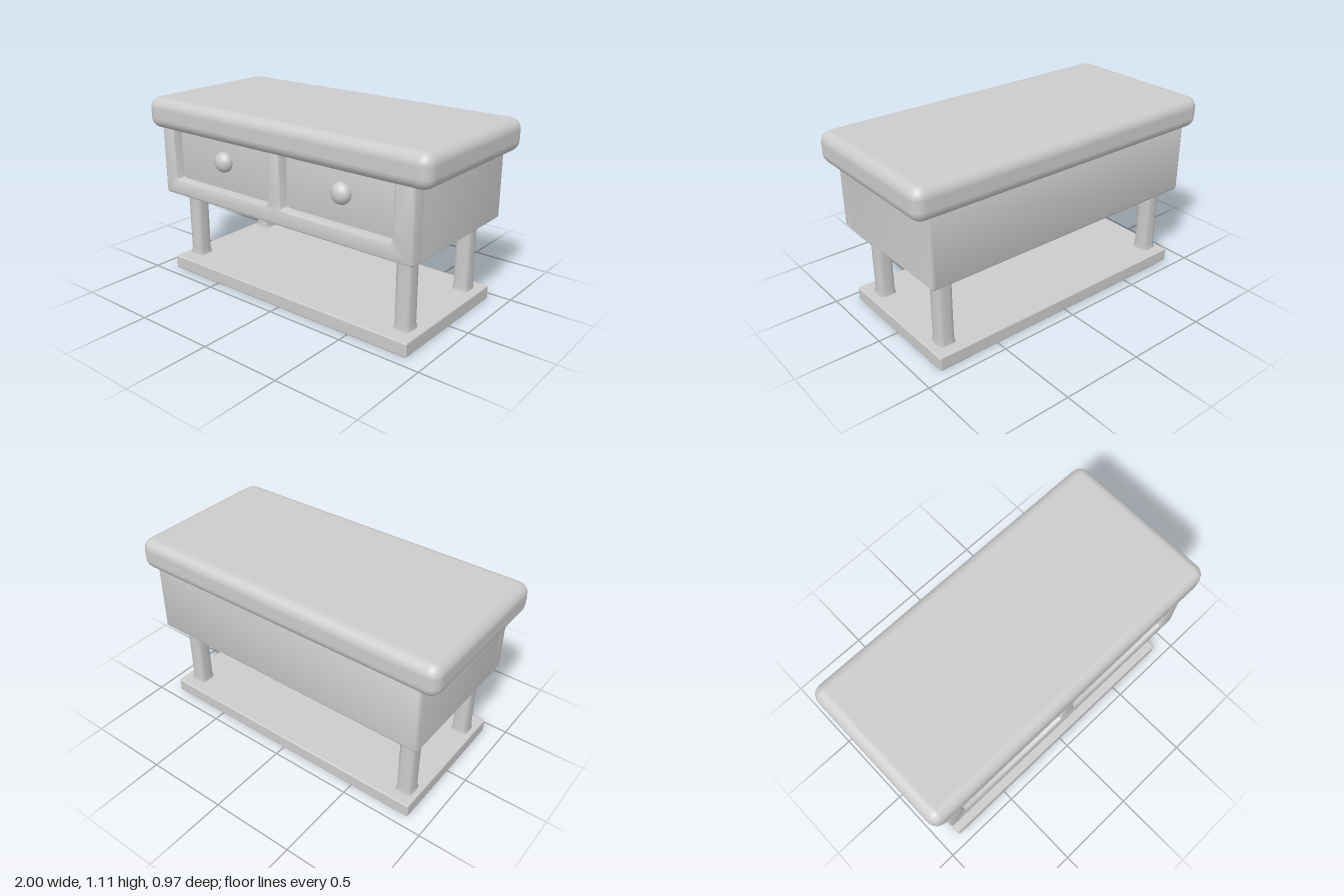
import * as THREE from 'three';
import { toCreasedNormals } from 'three/addons/utils/BufferGeometryUtils.js';
import { RoundedBoxGeometry } from 'three/addons/geometries/RoundedBoxGeometry.js';

const material = new THREE.MeshStandardMaterial({ color: 0xcccccc });

function add(parent, name, geometry, x = 0, y = 0, z = 0) {
  const mesh = new THREE.Mesh(geometry, material);
  mesh.name = name;
  mesh.position.set(x, y, z);
  parent.add(mesh);
  return mesh;
}

// Extrude an outline between two z planes, with softened edges
function slab(points, z0, z1) {
  const shape = new THREE.Shape(points.map(([x, y]) => new THREE.Vector2(x, y)));
  const t = 0.02;
  const geometry = new THREE.ExtrudeGeometry(shape, {
    depth: z1 - z0 - 2 * t, bevelThickness: t, bevelSize: 0.015, bevelOffset: -0.015, bevelSegments: 2,
  });
  geometry.translate(0, 0, z0 + t);
  return toCreasedNormals(geometry, 0.6);
}

// Rounded square post that flares towards both ends
function legGeometry(y0, y1) {
  const rows = [[0, 0.053], [0.035, 0.046], [0.36, 0.046], [y1 - y0, 0.053]];
  const geometry = new THREE.CylinderGeometry(1, 1, 3, 16, 3, true);
  const p = geometry.attributes.position;
  for (let i = 0; i < p.count; i++) {
    const [y, half] = rows[Math.round(p.getY(i) + 1.5)];
    const square = (v) => THREE.MathUtils.clamp(v * 1.25, -1, 1) * half;
    p.setXYZ(i, square(p.getX(i)), y0 + y, square(p.getZ(i)));
  }
  geometry.computeVertexNormals();
  return geometry;
}

export function createModel() {
  const model = new THREE.Group();
  model.name = 'sideTable';

  add(model, 'tableTop', new RoundedBoxGeometry(2, 0.19, 0.97, 3, 0.065), 0, 1.015, 0);
  add(model, 'lowerShelf', new RoundedBoxGeometry(1.765, 0.085, 0.87, 2, 0.01), 0, 0.0425, 0);

  // Cabinet: solid block behind a front frame with two drawer openings
  const w = 0.91, top = 0.95, low = 0.515, c = 0.012;
  const bottom = [[-w, low + c], [-w + c, low], [w - c, low], [w, low + c], [w, top]];
  const opening = (x0, x1) => [
    [x1, top], [x1, 0.64], [x1 - 0.007, 0.622], [x1 - 0.025, 0.615],
    [x0 + 0.025, 0.615], [x0 + 0.007, 0.622], [x0, 0.64], [x0, top],
  ];
  const cabinet = new THREE.Group();
  cabinet.name = 'cabinet';
  model.add(cabinet);
  add(cabinet, 'cabinetBlock', slab([...bottom, [-w, top]], -0.45, 0.39));
  add(cabinet, 'frontFrame',
    slab([...bottom, ...opening(0.045, 0.785), ...opening(-0.805, -0.05), [-w, top]], 0.3, 0.45));

  // Drawer knobs
  for (const x of [-0.435, 0.43]) {
    add(cabinet, 'drawerKnob', new THREE.SphereGeometry(0.061, 24, 16), x, 0.785, 0.4).scale.z = 0.8;
  }

  // Legs
  const leg = legGeometry(0.08, 0.525);
  for (const x of [-0.8, 0.78]) {
    for (const z of [0.29, -0.317]) add(model, 'leg', leg, x, 0, z);
  }
  return model;
}
